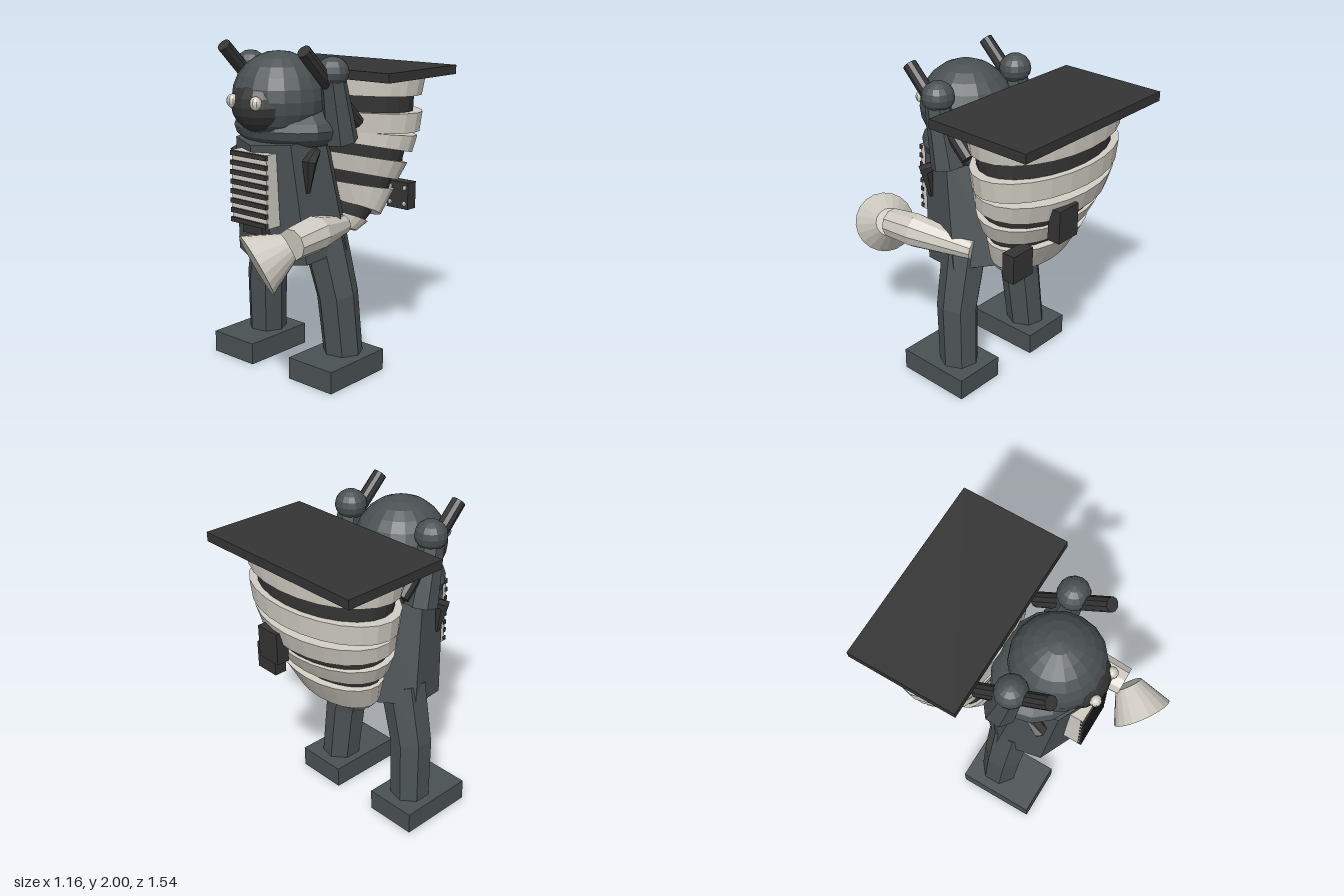
import * as THREE from 'three';

const paint = (name, color) => {
  const m = new THREE.MeshStandardMaterial({ color, flatShading: true });
  m.name = name;
  return m;
};
const V = (x, y, z) => new THREE.Vector3(x, y, z);

// Closed solid through elliptical sections [centre, u, v], where u x v points along the path
function loft(sections, sides) {
  const pos = [], idx = [], n = sections.length;
  for (const [c, u, v] of sections) {
    for (let j = 0; j < sides; j++) {
      const a = (j / sides) * Math.PI * 2;
      const p = c.clone().addScaledVector(u, Math.cos(a)).addScaledVector(v, Math.sin(a));
      pos.push(p.x, p.y, p.z);
    }
  }
  const first = n * sides, last = first + 1, end = (n - 1) * sides;
  for (const c of [sections[0][0], sections[n - 1][0]]) pos.push(c.x, c.y, c.z);
  for (let j = 0; j < sides; j++) {
    const k = (j + 1) % sides;
    for (let i = 0; i < n - 1; i++) {
      const a = i * sides + j, b = i * sides + k;
      idx.push(a, b, a + sides, b, b + sides, a + sides);
    }
    idx.push(first, k, j, last, end + j, end + k);
  }
  const g = new THREE.BufferGeometry();
  g.setAttribute('position', new THREE.Float32BufferAttribute(pos, 3));
  g.setIndex(idx);
  g.computeVertexNormals();
  return g;
}

// Jointed tube through points with one radius per point
function limb(points, radii, sides) {
  const last = points.length - 1;
  return loft(points.map((p, i) => {
    const t = points[Math.min(i + 1, last)].clone().sub(points[Math.max(i - 1, 0)]).normalize();
    const u = V(1, 0, 0).addScaledVector(t, -t.x).normalize();
    const v = t.clone().cross(u);
    return [p, u.multiplyScalar(radii[i]), v.multiplyScalar(radii[i])];
  }), sides);
}

export function createModel() {
  const model = new THREE.Group();
  const slate = paint('slate', 0x4a5153);
  const dark = paint('charcoal', 0x343434);
  const cream = paint('cream', 0xd0ccc2);

  const add = (name, geometry, material) => {
    const m = new THREE.Mesh(geometry, material);
    m.name = name;
    model.add(m);
    return m;
  };
  // Box from its minimum and maximum corners
  const box = (name, mat, x0, x1, y0, y1, z0, z1) =>
    add(name, new THREE.BoxGeometry(x1 - x0, y1 - y0, z1 - z0), mat)
      .position.set((x0 + x1) / 2, (y0 + y1) / 2, (z0 + z1) / 2);
  const ball = (name, mat, x, y, z, rx, ry, rz, w = 16, h = 10) => {
    const g = new THREE.SphereGeometry(1, w, h);
    g.scale(rx, ry, rz);
    add(name, g, mat).position.set(x, y, z);
  };

  // Head, mask and chest
  ball('head', slate, 0, 1.68, 0.19, 0.275, 0.27, 0.275, 18, 12);
  ball('faceMask', dark, 0, 1.65, 0.33, 0.185, 0.16, 0.17);
  ball('shoulders', slate, 0, 1.51, 0.11, 0.355, 0.15, 0.285);
  add('torso', loft([
    [V(0, 1.46, 0.16), V(0, -0.03, 0.27), V(-0.28, 0, 0)],
    [V(0, 0.77, 0.05), V(0, -0.06, 0.33), V(-0.355, 0, 0)],
  ], 7), slate);

  // Ribbed grille on the chest
  box('grillePanel', cream, -0.14, 0.14, 0.96, 1.39, 0.3, 0.442);
  for (let i = 0; i < 8; i++) {
    const y = 1.374 - i * 0.0565;
    box('grilleBar', dark, -0.142, 0.142, y - 0.014, y + 0.014, 0.43, 0.455);
  }
  box('grilleLatch', dark, -0.08, 0.08, 0.905, 0.955, 0.3, 0.42);

  // Paired parts
  for (const s of [-1, 1]) {
    ball('eye', cream, s * 0.092, 1.68, 0.475, 0.035, 0.04, 0.035, 10, 8);
    box('foot', slate, s * 0.3225 - 0.1675, s * 0.3225 + 0.1675, 0, 0.135, -0.21, 0.28);
    add('leg', limb([V(s * 0.2, 0.86, 0.02), V(s * 0.295, 0.5, 0), V(s * 0.32, 0.12, -0.03)],
      [0.14, 0.128, 0.122], 7), slate);
    ball('shoulderBall', slate, s * 0.325, 1.84, 0.095, 0.097, 0.09, 0.095, 14, 8);
    add('shoulderPost', limb([V(s * 0.33, 1.82, 0.1), V(s * 0.33, 1.44, 0.02)], [0.072, 0.1], 7), slate);
    add('shoulderPipe', limb([V(s * 0.315, 1.97, 0.325), V(s * 0.32, 1.53, -0.13)], [0.042, 0.046], 10), dark);
    add('sideSpike', limb([V(s * 0.26, 1.39, 0.16), V(s * 0.29, 1.34, 0.25), V(s * 0.268, 1.16, 0.235)],
      [0.03, 0.045, 0.012], 6), dark);
  }

  // Horn held at one side
  add('hornArm', limb([V(0.25, 0.905, -0.09), V(0.36, 0.945, 0.28), V(0.365, 0.925, 0.48)],
    [0.06, 0.104, 0.092], 10), cream);
  add('hornBell', limb([V(0.364, 0.918, 0.508), V(0.272, 0.828, 0.662)], [0.087, 0.188], 20), cream);

  // Banded basket: each band is [top, bottom] of [front z, front y, back z, back y, half width]
  const section = ([fz, fy, bz, by, w]) => [
    V(0, (fy + by) / 2, (fz + bz) / 2), V(w, 0, 0), V(0, (fy - by) / 2, (fz - bz) / 2),
  ];
  const bands = [
    [cream, [-0.1, 1.79, -0.74, 1.79, 0.557], [-0.105, 1.68, -0.73, 1.67, 0.535]],
    [dark, [-0.13, 1.7, -0.69, 1.69, 0.49], [-0.14, 1.56, -0.69, 1.55, 0.48]],
    [cream, [-0.12, 1.58, -0.725, 1.57, 0.542], [-0.13, 1.46, -0.715, 1.45, 0.525]],
    [cream, [-0.13, 1.47, -0.705, 1.4, 0.515], [-0.13, 1.4, -0.67, 1.28, 0.495]],
    [dark, [-0.15, 1.42, -0.64, 1.3, 0.45], [-0.16, 1.31, -0.61, 1.2, 0.43]],
    [cream, [-0.14, 1.33, -0.635, 1.22, 0.475], [-0.16, 1.22, -0.58, 1.11, 0.425]],
    [dark, [-0.18, 1.24, -0.56, 1.14, 0.39], [-0.2, 1.1, -0.52, 1.04, 0.36]],
    [cream, [-0.18, 1.14, -0.57, 1.06, 0.395], [-0.2, 1.02, -0.47, 0.88, 0.34]],
    [dark, [-0.2, 1.05, -0.44, 0.92, 0.3], [-0.19, 0.95, -0.38, 0.83, 0.25]],
    [cream, [-0.17, 0.96, -0.4, 0.84, 0.28], [-0.15, 0.88, -0.35, 0.79, 0.22]],
    [cream, [-0.12, 0.86, -0.29, 0.76, 0.16], [-0.09, 0.79, -0.18, 0.7, 0.08]],
  ];
  for (const [mat, top, bottom] of bands) {
    add('basketBand', loft([section(top), section(bottom)], 24), mat);
  }
  box('basketLid', dark, -0.58, 0.58, 1.78, 1.835, -0.76, -0.09);

  // Small boxes on the basket, with studs on their front faces
  for (const [x, y, z, h] of [[0.15, 1.267, -0.672, 0.195], [0.36, 1.037, -0.532, 0.17]]) {
    box('basketBox', dark, x - 0.08, x + 0.08, y - h / 2, y + h / 2, z - 0.04, z + 0.04);
    for (const dx of [-0.055, 0.055]) {
      for (const dy of [-0.05, 0.05]) ball('boxStud', cream, x + dx, y + dy, z + 0.04, 0.014, 0.014, 0.008, 8, 6);
    }
  }
  return model;
}
